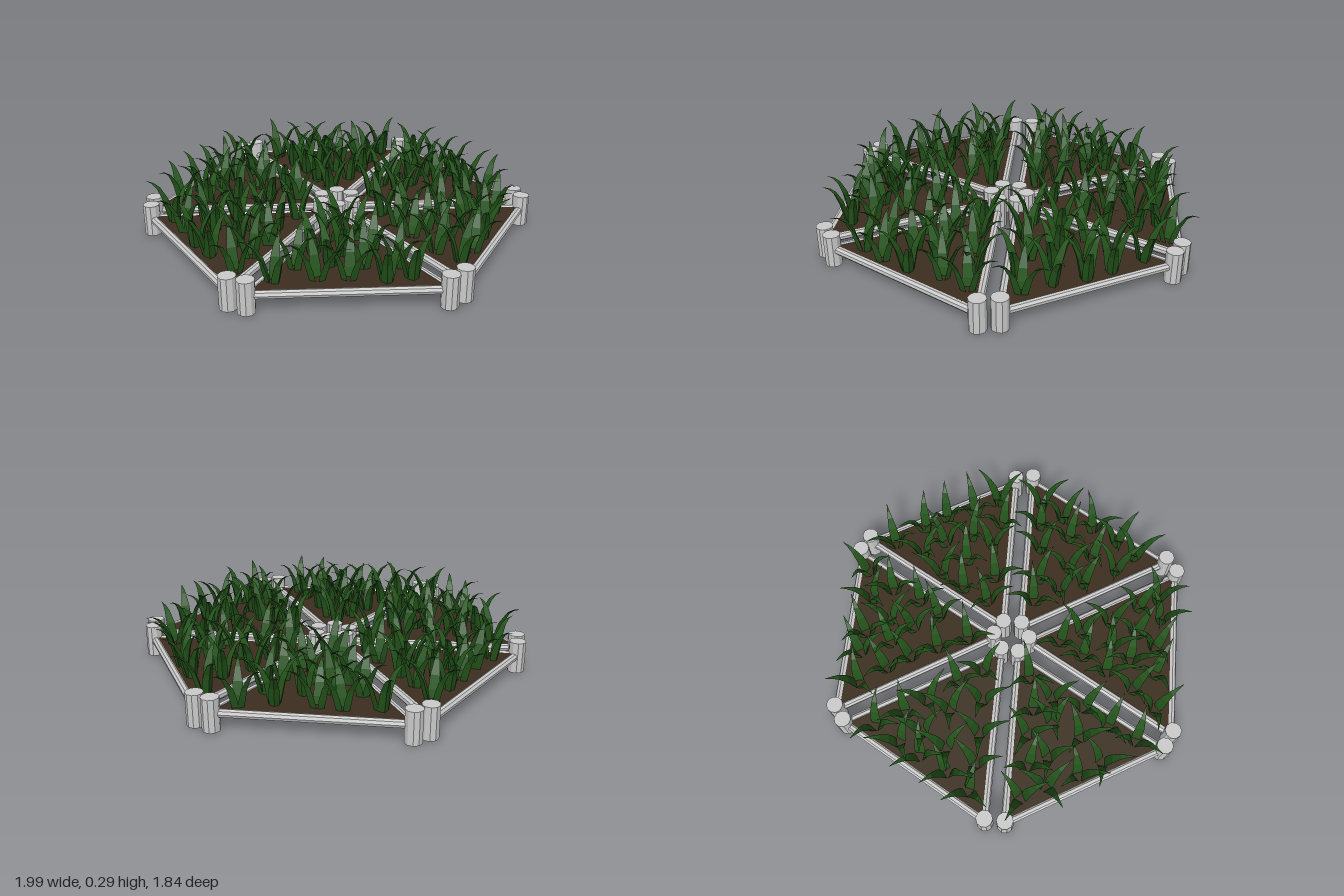
import * as THREE from 'three';
import { mergeGeometries } from 'three/addons/utils/BufferGeometryUtils.js';

const metal = new THREE.MeshStandardMaterial({ color: 0xcccccc, flatShading: true });
const earth = new THREE.MeshStandardMaterial({ color: 0x3c2e1f });
const green = new THREE.MeshStandardMaterial({ color: 0x24541b, flatShading: true });

let seed = 7;
function rand() {
  seed = (seed * 16807) % 2147483647;
  return seed / 2147483647;
}

function addMesh(parent, name, geometry, material) {
  const mesh = new THREE.Mesh(geometry, material);
  mesh.name = name;
  parent.add(mesh);
  return mesh;
}

// Curling blade leaning towards +z: triangular sections [lean, height, half width]
function bladeGeometry() {
  const sections = [[0, 0.075, 0.02], [0.012, 0.14, 0.026], [0.03, 0.205, 0.022],
    [0.065, 0.265, 0.013], [0.095, 0.286, 0.007], [0.135, 0.295, 0.0005]];
  const pos = [], index = [];
  for (const [lean, y, w] of sections) {
    pos.push(-w, y, lean, w, y, lean, 0, y - w * 0.2, lean + w * 0.8);
  }
  for (let i = 0; i < sections.length - 1; i++) {
    for (let k = 0; k < 3; k++) {
      const a = i * 3 + k, b = i * 3 + (k + 1) % 3;
      index.push(a, a + 3, b, b, a + 3, b + 3);
    }
  }
  index.push(0, 1, 2);
  const g = new THREE.BufferGeometry();
  g.setAttribute('position', new THREE.Float32BufferAttribute(pos, 3));
  g.setIndex(index);
  g.computeVertexNormals();
  return g;
}

// Tufts of three blades on a jittered triangular grid inside the bed
function grassGeometry(corners) {
  const blade = bladeGeometry(), parts = [], rows = 4;
  const centre = new THREE.Vector3();
  corners.forEach((c) => centre.addScaledVector(c, 1 / 3));
  for (let i = 0; i <= rows; i++) {
    for (let j = 0; j <= rows - i; j++) {
      const weights = [i / rows, j / rows, (rows - i - j) / rows];
      const p = new THREE.Vector3();
      corners.forEach((c, k) => p.addScaledVector(c, weights[k]));
      p.lerp(centre, 0.3);
      p.x += (rand() - 0.5) * 0.05;
      p.z += (rand() - 0.5) * 0.05;
      const turn = rand() * Math.PI * 2;
      for (let k = 0; k < 3; k++) {
        const g = blade.clone();
        const s = 0.9 + rand() * 0.1;
        g.scale(1, s, 0.85 + rand() * 0.25);
        g.translate(0, 0.075 * (1 - s), 0.012);
        g.rotateY(turn + k * Math.PI * 2 / 3 + (rand() - 0.5) * 0.6);
        g.translate(p.x, 0, p.z);
        parts.push(g);
      }
    }
  }
  return mergeGeometries(parts);
}

// One triangular planter: posts, rails, soil and grass
function createBed(name, points) {
  const bed = new THREE.Group();
  bed.name = name;
  const corners = points.map(([x, z]) => new THREE.Vector3(x, 0, z));

  corners.forEach((c, i) => {
    const post = addMesh(bed, 'post', new THREE.CylinderGeometry(0.042, 0.042, 0.16, 10), metal);
    post.position.set(c.x, 0.08, c.z);

    const d = corners[(i + 1) % 3].clone().sub(c);
    const rail = addMesh(bed, 'rail', new THREE.CylinderGeometry(0.02, 0.02, d.length(), 8), metal);
    rail.position.copy(c).addScaledVector(d, 0.5).setY(0.083);
    rail.quaternion.setFromUnitVectors(new THREE.Vector3(0, 1, 0), d.normalize());
  });

  const outline = new THREE.Shape(points.map(([x, z]) => new THREE.Vector2(x, -z)));
  const soil = new THREE.ExtrudeGeometry(outline, { depth: 0.01, bevelEnabled: false });
  soil.rotateX(-Math.PI / 2).translate(0, 0.087, 0);
  addMesh(bed, 'soil', soil, earth);

  addMesh(bed, 'grass', grassGeometry(corners), green);
  return bed;
}

export function createModel() {
  const model = new THREE.Group();
  model.name = 'hexagonalGrassPlanter';
  // Post positions (x, z) of the six beds around the centre
  const beds = {
    backBed: [[-0.45, -0.84], [0.43, -0.83], [0, -0.07]],
    backLeftBed: [[0.51, -0.79], [0.94, -0.025], [0.07, -0.025]],
    frontLeftBed: [[0.957, 0.07], [0.505, 0.825], [0.07, 0.07]],
    frontBed: [[0.43, 0.88], [-0.45, 0.87], [-0.01, 0.115]],
    frontRightBed: [[-0.53, 0.83], [-0.958, 0.065], [-0.09, 0.065]],
    backRightBed: [[-0.52, -0.79], [-0.955, -0.035], [-0.08, -0.025]],
  };
  for (const [name, points] of Object.entries(beds)) model.add(createBed(name, points));
  return model;
}
